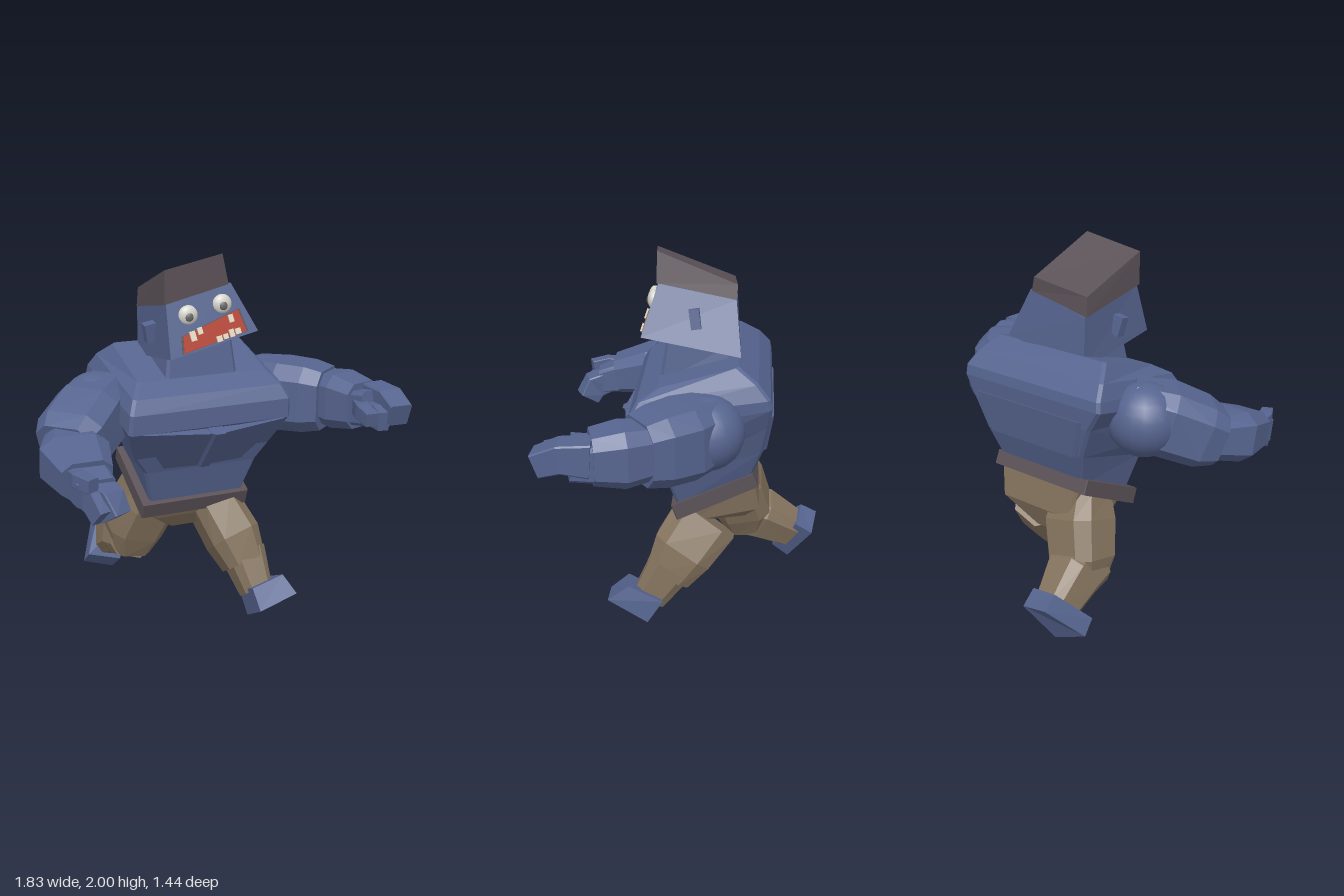
import * as THREE from 'three';

const mat = (color, flatShading = true) => new THREE.MeshStandardMaterial({ color, flatShading });
const SKIN = mat(0x56648f), HAIR = mat(0x5a5157), PANTS = mat(0x84735e), RED = mat(0xb5412f);
const TOOTH = mat(0xe2d9c2), EYE = mat(0xd5d5cc, false), PUPIL = mat(0x6c6c6c, false);
const SKIN_SMOOTH = mat(0x56648f, false);
const V = (a) => new THREE.Vector3(...a);

// Closed solid through rings that run counter-clockwise about the loft direction
function loft(rings) {
  const out = [], n = rings[0].length;
  const tri = (...p) => p.forEach((q) => out.push(...q));
  for (let k = 0; k + 1 < rings.length; k++) {
    for (let i = 0; i < n; i++) {
      const j = (i + 1) % n, a = rings[k], b = rings[k + 1];
      tri(a[i], a[j], b[j]);
      tri(a[i], b[j], b[i]);
    }
  }
  const first = rings[0], last = rings[rings.length - 1];
  for (let i = 1; i + 1 < n; i++) {
    tri(first[0], first[i + 1], first[i]);
    tri(last[0], last[i], last[i + 1]);
  }
  const g = new THREE.BufferGeometry();
  g.setAttribute('position', new THREE.Float32BufferAttribute(out, 3));
  g.computeVertexNormals();
  return g;
}

// Chamfered, forward-tilted slab outline: x range, front (z, y), back (z, y), chamfer
function slab([x0, x1, zf, yf, zb, yb, c = 0.015]) {
  const y = (z) => yb + (yf - yb) * (z - zb) / (zf - zb);
  return [[x0, zf - c], [x0 + c, zf], [x1 - c, zf], [x1, zf - c],
    [x1, zb + c], [x1 - c, zb], [x0 + c, zb], [x0, zb + c]].map(([x, z]) => [x, y(z), z]);
}

// Chamfered bar along a path of [x, y, z, halfWidth, halfHeight]
function limb(path, ref = [0, 1, 0], cut = 0.6) {
  const shape = [[1, -cut], [1, cut], [cut, 1], [-cut, 1], [-1, cut], [-1, -cut], [-cut, -1], [cut, -1]];
  const pts = path.map((p) => V(p.slice(0, 3)));
  return loft(path.map(([, , , w, h], i) => {
    const t = pts[Math.min(i + 1, pts.length - 1)].clone().sub(pts[Math.max(i - 1, 0)]).normalize();
    const side = t.clone().cross(V(ref)).normalize();
    const up = t.clone().cross(side);
    return shape.map(([a, b]) => pts[i].clone().addScaledVector(side, a * w).addScaledVector(up, b * h).toArray());
  }));
}

export function createModel() {
  const model = new THREE.Group();
  const add = (name, geometry, material, parent = model) => {
    const m = new THREE.Mesh(geometry, material);
    m.name = name;
    parent.add(m);
    return m;
  };
  const group = (name) => {
    const g = new THREE.Group();
    g.name = name;
    model.add(g);
    return g;
  };

  // Torso, leaning forward
  const body = group('body');
  add('torso', loft([
    [-0.28, 0.25, 0.05, 0.68, -0.33, 0.85],
    [-0.33, 0.31, 0.11, 0.88, -0.39, 1.03],
    [-0.40, 0.37, 0.15, 0.98, -0.42, 1.20],
    [-0.47, 0.42, 0.28, 1.15, -0.43, 1.31],
    [-0.46, 0.42, 0.28, 1.25, -0.42, 1.36],
    [-0.43, 0.39, 0.24, 1.32, -0.36, 1.43],
    [-0.37, 0.34, 0.14, 1.38, -0.26, 1.50],
  ].map(slab)), SKIN, body);
  add('backPlate', loft([
    [-0.30, 0.27, -0.2, 0.97, -0.41, 1.03],
    [-0.36, 0.33, -0.2, 1.16, -0.44, 1.24],
  ].map(slab)), SKIN, body);
  // Chest muscles: wedges hanging under the chest edge
  for (const s of [-1, 1]) {
    const cx = -0.01;
    const low = [[cx + s * 0.03, 0.90, 0.14], [cx + s * 0.22, 0.90, 0.12], [cx + s * 0.28, 1.0, 0.05], [cx + s * 0.03, 0.95, 0.05]];
    const high = [[cx + s * 0.03, 1.13, 0.34], [cx + s * 0.39, 1.15, 0.29], [cx + s * 0.40, 1.17, 0.1], [cx + s * 0.03, 1.17, 0.1]];
    const rings = [low, high];
    if (s < 0) rings.forEach((r) => r.reverse());
    add('chestMuscle', loft(rings), SKIN, body);
  }
  add('breastbone', loft([
    slab([-0.05, 0.03, 0.15, 0.89, 0.02, 0.95]),
    slab([-0.05, 0.03, 0.355, 1.13, 0.1, 1.18]),
  ]), SKIN, body);
  add('neck', loft([
    [-0.22, 0.18, 0.14, 1.35, -0.24, 1.45],
    [-0.19, 0.16, 0.11, 1.55, -0.20, 1.53],
  ].map(slab)), SKIN, body);

  // Head, rolled to one side and tipped back
  const head = group('head');
  const faceZ = (y) => 0.258 - 0.33 * (y - 1.51);
  add('skull', loft([
    [[-0.24, 1.51, faceZ(1.51)], [0.25, 1.61, faceZ(1.61)], [0.25, 1.515, -0.27], [-0.23, 1.43, -0.25]],
    [[-0.23, 1.77, faceZ(1.77)], [0.13, 1.85, faceZ(1.85)], [0.12, 1.77, -0.24], [-0.23, 1.69, -0.24]]]), SKIN, head);
  add('hair', loft([
    [[-0.24, 1.77, 0.182], [0.115, 1.845, 0.155], [0.11, 1.765, -0.242], [-0.235, 1.69, -0.235]],
    [[-0.24, 1.94, 0.18], [0.08, 2.0, 0.155], [0.09, 1.84, -0.245], [-0.23, 1.79, -0.225]]]), HAIR, head);
  for (const [x, y] of [[-0.12, 1.71], [0.07, 1.75]]) {
    const ball = add('eye', new THREE.SphereGeometry(0.052, 20, 14), EYE, head);
    ball.position.set(x, y, faceZ(y) - 0.005);
    ball.scale.z = 0.6;
    const pupil = add('pupil', new THREE.SphereGeometry(0.022, 14, 10), PUPIL, head);
    pupil.position.set(x - 0.002, y - 0.004, faceZ(y) + 0.021);
    pupil.scale.z = 0.5;
  }
  // Mouth on the face, with a narrow rim and crooked teeth
  const mouth = [[-0.165, 1.535], [0.185, 1.615], [0.15, 1.72], [-0.16, 1.615]];
  const plate = (grow, d) => [-0.01, d].map((o) => mouth.map(([x, y]) => {
    const px = 0.005 + (x - 0.005) * grow, py = 1.62 + (y - 1.62) * grow;
    return [px, py, faceZ(py) + o];
  }));
  add('mouthRim', loft(plate(1.06, 0.002)), HAIR, head);
  add('mouth', loft(plate(1, 0.004)), RED, head);
  for (const [x, y, w, h] of [[-0.11, 1.612, 0.03, 0.05], [-0.07, 1.634, 0.026, 0.035], [0.105, 1.68, 0.026, 0.04],
    [0.03, 1.588, 0.03, 0.03], [0.065, 1.597, 0.026, 0.026], [0.1, 1.61, 0.026, 0.04], [0.135, 1.617, 0.03, 0.03]]) {
    const t = add('tooth', new THREE.BoxGeometry(w, h, 0.024), TOOTH, head);
    t.position.set(x, y, faceZ(y));
    t.rotation.set(-0.32, 0, 0.18);
  }
  for (const [x, y, z] of [[0.185, 1.69, -0.04], [-0.25, 1.6, 0]]) {
    const ear = add('ear', new THREE.BoxGeometry(0.06, 0.1, 0.05), SKIN, head);
    ear.position.set(x, y, z);
    ear.rotation.set(0.15, 0, 0.2);
  }

  // Arms: round shoulder, upper arm, forearm, palm, blocky fingers
  function arm(name, shoulder, upper, fore, palm, fingers) {
    const g = group(name);
    add('shoulder', new THREE.SphereGeometry(0.188, 20, 14), SKIN_SMOOTH, g).position.set(...shoulder);
    add('upperArm', limb(upper), SKIN, g);
    add('forearm', limb(fore), SKIN, g);
    add('palm', limb(palm, [0, 1, 0], 0.8), SKIN, g);
    fingers.forEach((f) => add('finger', limb(f, [0, 1, 0], 0.9), SKIN, g));
  }
  arm('leftArm', [0.45, 1.2, -0.112],
    [[0.41, 1.21, -0.14, 0.13, 0.17], [0.52, 1.2, 0.0, 0.18, 0.185], [0.62, 1.2, 0.12, 0.165, 0.18], [0.68, 1.2, 0.2, 0.14, 0.16]],
    [[0.67, 1.21, 0.13, 0.11, 0.13], [0.73, 1.21, 0.27, 0.135, 0.145], [0.77, 1.21, 0.41, 0.115, 0.12]],
    [[0.77, 1.2, 0.38, 0.1, 0.09], [0.8, 1.22, 0.5, 0.1, 0.09]],
    [[[0.835, 1.24, 0.4, 0.065, 0.085], [0.845, 1.25, 0.54, 0.065, 0.07], [0.84, 1.21, 0.65, 0.06, 0.06]],
      [[0.77, 1.19, 0.45, 0.04, 0.06], [0.775, 1.19, 0.56, 0.035, 0.06], [0.765, 1.18, 0.63, 0.03, 0.05]],
      [[0.74, 1.22, 0.42, 0.04, 0.04], [0.69, 1.22, 0.54, 0.035, 0.04], [0.69, 1.2, 0.64, 0.035, 0.035]]]);
  arm('rightArm', [-0.51, 1.2, -0.12],
    [[-0.42, 1.25, -0.14, 0.13, 0.14], [-0.57, 1.19, -0.02, 0.18, 0.17], [-0.7, 1.12, 0.1, 0.18, 0.16], [-0.76, 1.09, 0.16, 0.15, 0.13]],
    [[-0.72, 1.1, 0.1, 0.12, 0.11], [-0.75, 1.07, 0.27, 0.17, 0.13], [-0.75, 1.03, 0.47, 0.125, 0.1]],
    [[-0.75, 1.03, 0.42, 0.1, 0.09], [-0.74, 1.0, 0.57, 0.095, 0.07]],
    [[[-0.72, 1.01, 0.5, 0.06, 0.06], [-0.69, 0.97, 0.61, 0.055, 0.07], [-0.67, 0.9, 0.65, 0.05, 0.06]],
      [[-0.79, 1.0, 0.48, 0.035, 0.06], [-0.76, 0.97, 0.6, 0.035, 0.065], [-0.74, 0.91, 0.66, 0.035, 0.055]],
      [[-0.81, 1.06, 0.44, 0.04, 0.035], [-0.81, 1.07, 0.54, 0.035, 0.035], [-0.77, 1.06, 0.63, 0.03, 0.035]]]);

  // Belt and hips
  add('belt', loft([
    [-0.33, 0.28, 0.05, 0.61, -0.37, 0.82, 0.005],
    [-0.33, 0.28, 0.08, 0.69, -0.34, 0.89, 0.005],
  ].map(slab)), HAIR);
  add('hips', loft([
    [-0.12, 0.04, -0.08, 0.48, -0.32, 0.52],
    [-0.24, 0.22, -0.01, 0.57, -0.38, 0.66],
    [-0.27, 0.25, 0.04, 0.66, -0.35, 0.82],
  ].map(slab)), PANTS);

  // Legs: left strides forward, right pushes off behind
  function leg(name, thigh, shin, foot) {
    const g = group(name);
    add('thigh', limb(thigh, [0, 0, 1]), PANTS, g);
    add('shin', limb(shin, [0, 0, 1]), PANTS, g);
    add('foot', loft(foot), SKIN, g);
  }
  leg('leftLeg',
    [[0.15, 0.565, -0.1, 0.13, 0.18], [0.215, 0.4, 0.02, 0.14, 0.165], [0.25, 0.27, 0.1, 0.11, 0.125]],
    [[0.25, 0.33, 0.08, 0.11, 0.12], [0.28, 0.14, 0.2, 0.08, 0.09]],
    [[[0.20, 0.13, 0.42], [0.42, 0.19, 0.41], [0.41, 0.05, 0.2], [0.23, 0.0, 0.2]],
      [[0.20, 0.22, 0.32], [0.39, 0.26, 0.3], [0.39, 0.17, 0.12], [0.21, 0.13, 0.13]]]);
  leg('rightLeg',
    [[-0.18, 0.74, -0.2, 0.13, 0.13], [-0.2, 0.6, -0.24, 0.16, 0.16], [-0.26, 0.42, -0.3, 0.15, 0.15], [-0.28, 0.28, -0.31, 0.1, 0.1]],
    [[-0.27, 0.39, -0.26, 0.12, 0.13], [-0.28, 0.36, -0.4, 0.125, 0.13], [-0.31, 0.25, -0.58, 0.09, 0.1]],
    [[[-0.48, 0.14, -0.54], [-0.3, 0.07, -0.56], [-0.2, 0.28, -0.69], [-0.37, 0.33, -0.72]],
      [[-0.47, 0.21, -0.47], [-0.28, 0.15, -0.47], [-0.19, 0.34, -0.6], [-0.36, 0.38, -0.63]]]);
  return model;
}
